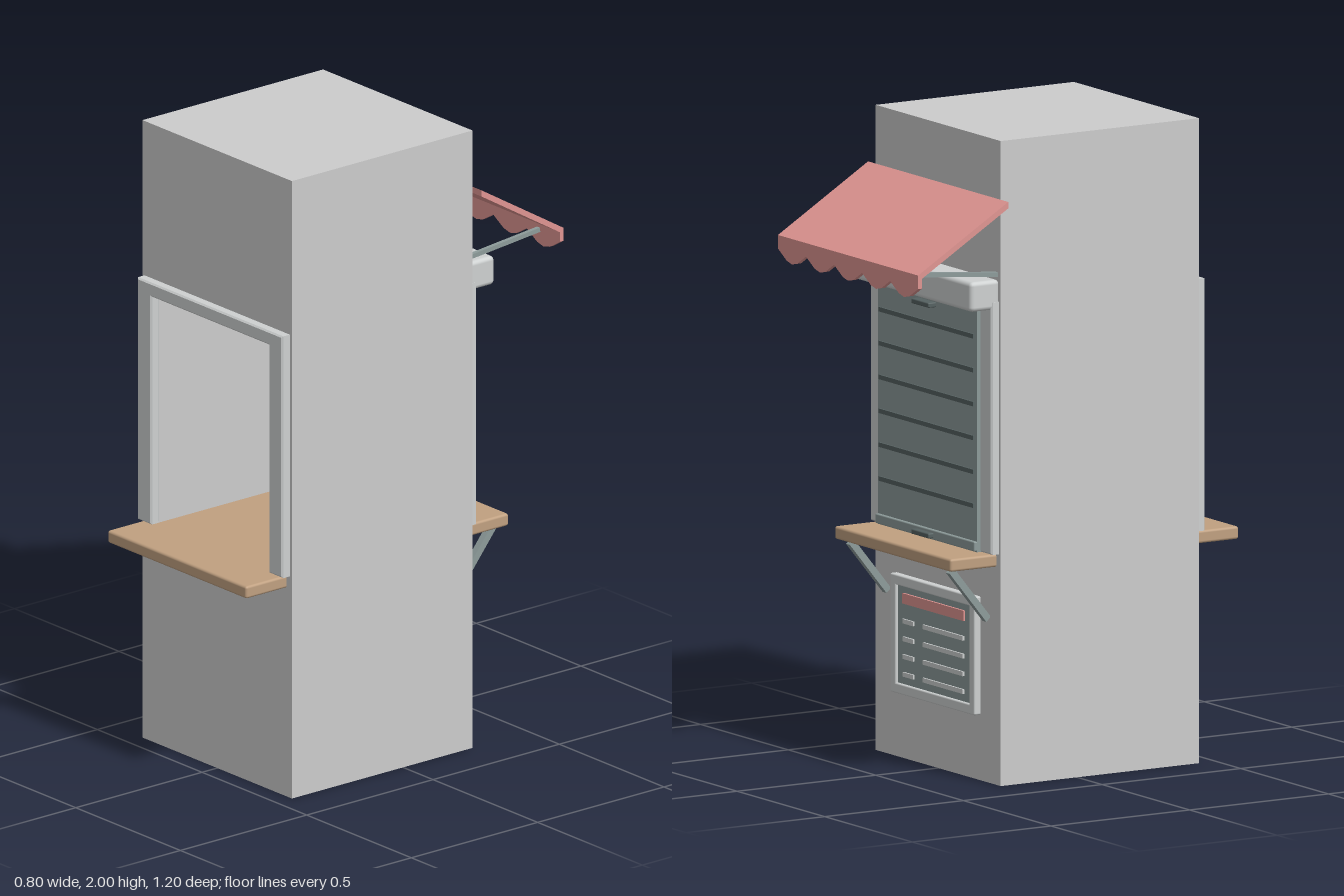
import * as THREE from 'three';
import { RoundedBoxGeometry } from 'three/addons/geometries/RoundedBoxGeometry.js';

const paint = (name, color, side = THREE.FrontSide) => {
  const m = new THREE.MeshStandardMaterial({ color, side });
  m.name = name;
  return m;
};

export function createModel() {
  const model = new THREE.Group();
  model.name = 'serviceKiosk';
  const wall = paint('wallGrey', 0xcccccc);
  const trim = paint('trimGrey', 0xced1d1);
  const wood = paint('counterWood', 0xc0a080);
  const red = paint('awningRed', 0xe09592);
  const steel = paint('shutterSteel', 0x8d9b9a);
  const dark = paint('darkSteel', 0x566262);

  const add = (name, geometry, material, parent = model) => {
    const mesh = new THREE.Mesh(geometry, material);
    mesh.name = name;
    parent.add(mesh);
    return mesh;
  };
  // Box given by its limits; radius > 0 softens the edges
  const box = (name, x0, x1, y0, y1, z0, z1, material, radius = 0, parent = model) => {
    const s = [x1 - x0, y1 - y0, z1 - z0];
    const g = radius ? new RoundedBoxGeometry(...s, 2, radius) : new THREE.BoxGeometry(...s);
    g.translate((x0 + x1) / 2, (y0 + y1) / 2, (z0 + z1) / 2);
    return add(name, g, material, parent);
  };
  const polygon = (points) => new THREE.Shape(points.map(([x, y]) => new THREE.Vector2(x, y)));
  // Square bar between two points in the side plane
  const bar = (name, x, [z0, y0], [z1, y1], size, material) => {
    const g = new THREE.BoxGeometry(size, size, Math.hypot(z1 - z0, y1 - y0));
    const mesh = add(name, g, material);
    mesh.position.set(x, (y0 + y1) / 2, (z0 + z1) / 2);
    mesh.rotation.x = -Math.atan2(y1 - y0, z1 - z0);
    return mesh;
  };

  // Tower with an opening running from front to back
  const tower = polygon([[-0.357, 0], [0.357, 0], [0.357, 2], [-0.357, 2]]);
  tower.holes.push(polygon([[-0.285, 0.7], [-0.285, 1.46], [0.285, 1.46], [0.285, 0.7]]));
  const towerGeometry = new THREE.ExtrudeGeometry(tower, { depth: 0.715, bevelEnabled: false });
  towerGeometry.translate(0, 0, -0.275);
  add('tower', towerGeometry, wall);

  // Three-sided frames on both faces of the opening
  const b = 0.005;
  const frameShape = polygon([
    [-0.347 + b, 0.717 + b], [-0.28 - b, 0.717 + b], [-0.28 - b, 1.455 + b], [0.28 + b, 1.455 + b],
    [0.28 + b, 0.717 + b], [0.347 - b, 0.717 + b], [0.347 - b, 1.5 - b], [-0.347 + b, 1.5 - b],
  ]);
  for (const [name, z] of [['frontFrame', 0.435], ['backFrame', -0.302]]) {
    const g = new THREE.ExtrudeGeometry(frameShape, {
      depth: 0.025, bevelSize: b, bevelThickness: b, bevelSegments: 1,
    });
    g.translate(0, 0, z + b);
    add(name, g, trim);
  }

  // Counter passing right through
  box('counter', -0.332, 0.332, 0.675, 0.715, -0.44, 0.6, wood, 0.008);

  // Roller shutter with ribs, bottom rail and handles
  const shutter = new THREE.Group();
  shutter.name = 'rollerShutter';
  model.add(shutter);
  box('shutterPanel', -0.283, 0.283, 0.717, 1.48, -0.314, -0.295, steel, 0, shutter);
  for (let i = 0; i < 6; i++) {
    const y = 0.86 + i * 0.105;
    box('shutterRib', -0.27, 0.27, y - 0.007, y + 0.007, -0.32, -0.312, dark, 0, shutter);
  }
  box('bottomRail', -0.283, 0.283, 0.72, 0.75, -0.324, -0.31, steel, 0.004, shutter);
  for (const y of [0.733, 1.448]) {
    box('shutterHandle', -0.05, 0.05, y - 0.008, y + 0.008, -0.342, -0.312, dark, 0.004, shutter);
  }
  box('shutterHousing', -0.345, 0.345, 1.475, 1.568, -0.375, -0.27, trim, 0.014);

  // Sloping awning panel
  const slope = polygon([[0.275, 1.818], [0.6, 1.622], [0.6, 1.602], [0.275, 1.798]]);
  const awningGeometry = new THREE.ExtrudeGeometry(slope, { depth: 0.8, bevelEnabled: false });
  awningGeometry.rotateY(Math.PI / 2);
  awningGeometry.translate(-0.4, 0, 0);
  add('awning', awningGeometry, red);

  // Scalloped valance
  const teeth = 5;
  const edge = [[0.4, 1.612], [-0.4, 1.612]];
  for (let i = 0; i < teeth; i++) {
    const x = -0.4 + i * 0.16;
    edge.push([x, 1.58], [x + 0.05, 1.55], [x + 0.08, 1.543], [x + 0.11, 1.55]);
  }
  edge.push([0.4, 1.58]);
  const valance = new THREE.ExtrudeGeometry(polygon(edge), { depth: 0.014, bevelEnabled: false });
  valance.translate(0, 0, -0.6);
  add('valance', valance, red);

  // Awning arms and counter brackets on both sides
  for (const side of [-1, 1]) {
    bar('awningArm', side * 0.335, [-0.27, 1.583], [-0.555, 1.61], 0.014, steel);
    bar('counterBracket', side * 0.285, [-0.28, 0.508], [-0.412, 0.67], 0.022, steel);
  }

  // Notice board with a header strip and rows of dashes
  const board = new THREE.Group();
  board.name = 'noticeBoard';
  model.add(board);
  box('boardPanel', -0.225, 0.225, 0.22, 0.55, -0.288, -0.27, steel, 0, board);
  for (const s of [-1, 1]) {
    box('boardSideRail', s * 0.225 - 0.016, s * 0.225 + 0.016, 0.203, 0.57, -0.297, -0.27, trim, 0.005, board);
    const y = 0.386 + s * 0.168;
    box('boardCrossRail', -0.24, 0.24, y - 0.016, y + 0.016, -0.297, -0.27, trim, 0.005, board);
  }
  box('boardHeader', -0.175, 0.175, 0.485, 0.517, -0.295, -0.287, red, 0, board);
  for (let i = 0; i < 4; i++) {
    const y = 0.43 - i * 0.055;
    box('shortDash', 0.115, 0.175, y - 0.007, y + 0.007, -0.294, -0.287, trim, 0, board);
    box('longDash', -0.17, 0.06, y - 0.007, y + 0.007, -0.294, -0.287, trim, 0, board);
  }
  return model;
}
